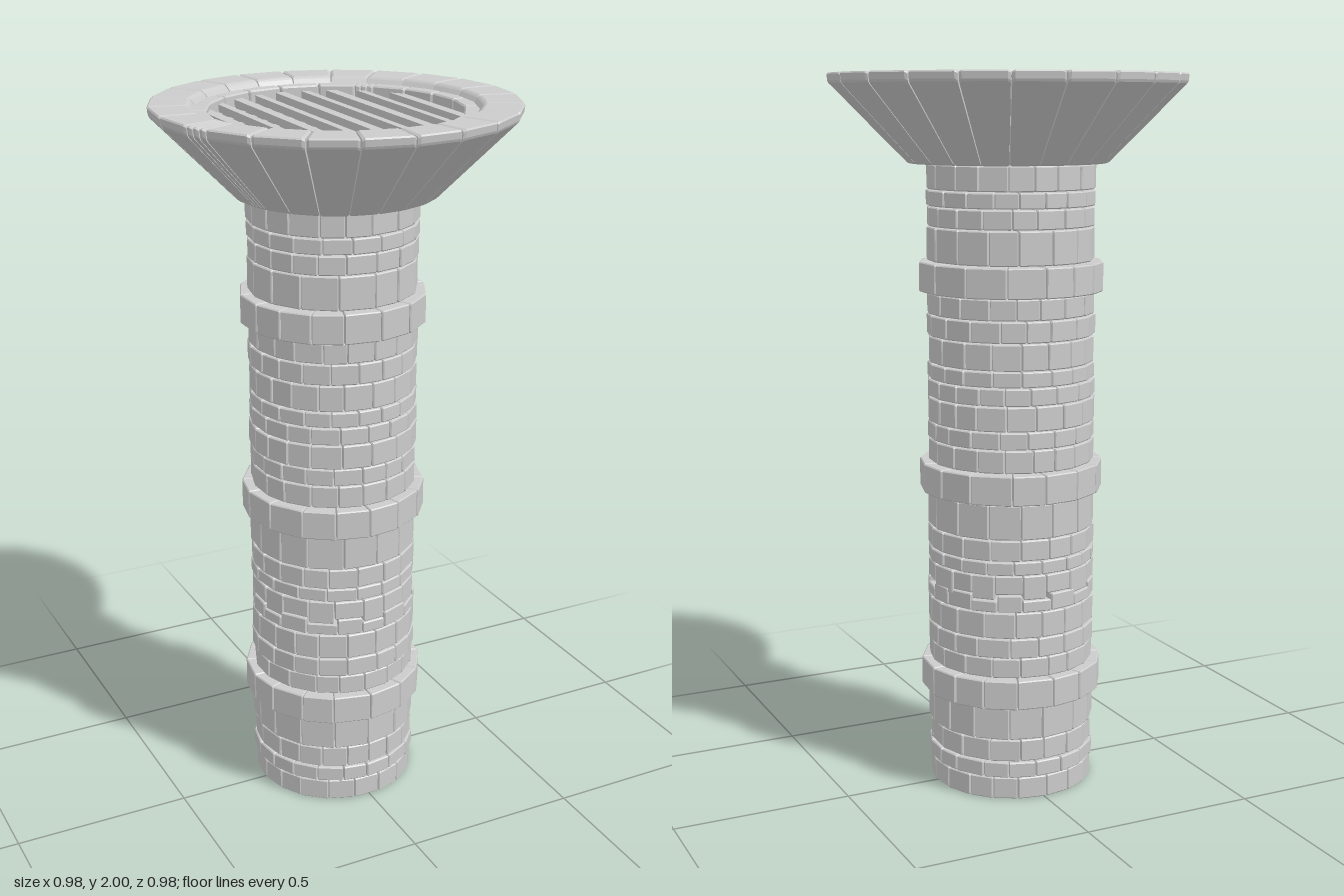
import * as THREE from 'three';
import { mergeGeometries } from 'three/addons/utils/BufferGeometryUtils.js';
import { ConvexGeometry } from 'three/addons/geometries/ConvexGeometry.js';

const stone = new THREE.MeshStandardMaterial({ color: 0xcccccc, flatShading: true });

// Small seeded generator for irregular stones
let seed = 7;
function rand() {
  seed = (seed * 16807) % 2147483647;
  return seed / 2147483647;
}

// Cut every corner of a convex [radius, y] profile by distance c
function chamfer(profile, c) {
  const out = [];
  profile.forEach((p, i) => {
    for (const q of [profile.at(i - 1), profile[(i + 1) % profile.length]]) {
      const t = Math.min(0.4, c / Math.hypot(q[0] - p[0], q[1] - p[1]));
      out.push([p[0] + (q[0] - p[0]) * t, p[1] + (q[1] - p[1]) * t]);
    }
  });
  return out;
}

// One straight-sided stone: the profile swept from angle a0 to a1, with bevelled edges
function block(profile, a0, a1, c = 0.004) {
  const outer = chamfer(profile, c);
  const cx = profile.reduce((s, p) => s + p[0], 0) / profile.length;
  const cy = profile.reduce((s, p) => s + p[1], 0) / profile.length;
  const inner = outer.map(([r, y]) => [r - Math.sign(r - cx) * c, y - Math.sign(y - cy) * c]);
  const da = c / profile[1][0];
  const points = [];
  const add = (list, a) => list.forEach(([r, y]) =>
    points.push(new THREE.Vector3(r * Math.cos(a), y, r * Math.sin(a))));
  add(inner, a0);
  add(outer, a0 + da);
  add(outer, a1 - da);
  add(inner, a1);
  return new ConvexGeometry(points);
}

// A closed ring of stones; weights give the relative stone widths
function ring(name, profileOf, weights, start, gap = 0.003, c = 0.004) {
  const total = weights.reduce((s, w) => s + w, 0);
  const stones = [];
  let a = start;
  weights.forEach((w, i) => {
    const step = (w / total) * Math.PI * 2;
    const g = gap / 0.4;
    stones.push(block(profileOf(i), a + g / 2, a + step - g / 2, c));
    a += step;
  });
  const mesh = new THREE.Mesh(mergeGeometries(stones), stone);
  mesh.name = name;
  return mesh;
}

const uneven = (n, amount) => Array.from({ length: n }, () => 1 + (rand() - 0.5) * amount);

export function createModel() {
  seed = 7;
  const model = new THREE.Group();
  model.name = 'stoneShaft';

  // Shaft: stacked courses, heights of the course joints
  const joints = [0, 0.063, 0.11, 0.175, 0.27, 0.355, 0.413, 0.47, 0.545, 0.595, 0.65, 0.69, 0.75,
    0.85, 0.935, 1.0, 1.05, 1.12, 1.17, 1.215, 1.29, 1.35, 1.41, 1.495, 1.59, 1.645, 1.69, 1.76];
  const bands = [4, 13, 22];
  const rough = 8;
  const shaft = new THREE.Group();
  shaft.name = 'shaft';
  shaft.position.set(-0.006, 0, -0.008);
  for (let k = 0; k < joints.length - 1; k++) {
    const band = bands.includes(k);
    const height = joints[k + 1] - joints[k];
    const count = band || height > 0.08 ? 16 : 19;
    const outerR = band ? 0.257 : 0.232 + rand() * 0.005;
    const innerR = 0.155 + rand() * 0.012;
    // The rough joint steps up and down from stone to stone
    const shift = (i, joint) => (joint === rough + 1 && i % 2 ? -0.015 : 0);
    const profileOf = (i) => {
      const y0 = joints[k] + (k ? 0.0015 : 0) + shift(i, k);
      const y1 = joints[k + 1] - 0.0015 + shift(i, k + 1);
      const r = outerR + (rand() - 0.5) * 0.003;
      return [[innerR, y0], [r, y0], [r, y1], [innerR, y1]];
    };
    shaft.add(ring(band ? 'bandCourse' : 'course', profileOf,
      uneven(count, 0.3), rand() * Math.PI * 2, 0.003, 0.003));
  }
  model.add(shaft);

  // Flared funnel with three thin filler stones
  const fillers = [0.17, 0.17, 0.17];
  const funnel = [[0.2, 1.76], [0.275, 1.76], [0.489, 1.975], [0.492, 2], [0.39, 2]];
  model.add(ring('funnel', () => funnel, [...uneven(22, 0.08), ...fillers], 2.87, 0.003));

  // Inner ledge ring that holds the grate
  const ledge = [[0.338, 1.925], [0.4, 1.925], [0.4, 1.982], [0.338, 1.982]];
  model.add(ring('ledge', () => ledge, [...uneven(20, 0.15), ...fillers], -0.8, 0.003));

  // Grate: two crossed layers of bars cut to the round opening
  const grate = new THREE.Group();
  grate.name = 'grate';
  for (let i = -4; i <= 4; i++) {
    const offset = i * 0.0715;
    const length = 2 * Math.sqrt(0.35 ** 2 - offset ** 2);
    const width = i % 2 ? 0.021 : 0.029;
    const upper = new THREE.Mesh(new THREE.BoxGeometry(width, 0.022, length), stone);
    upper.name = 'upperBar';
    upper.position.set(offset - 0.004, 1.957, 0);
    const lower = new THREE.Mesh(new THREE.BoxGeometry(length, 0.022, width), stone);
    lower.name = 'lowerBar';
    lower.position.set(0, 1.937, offset - 0.012);
    grate.add(upper, lower);
  }
  model.add(grate);

  return model;
}
